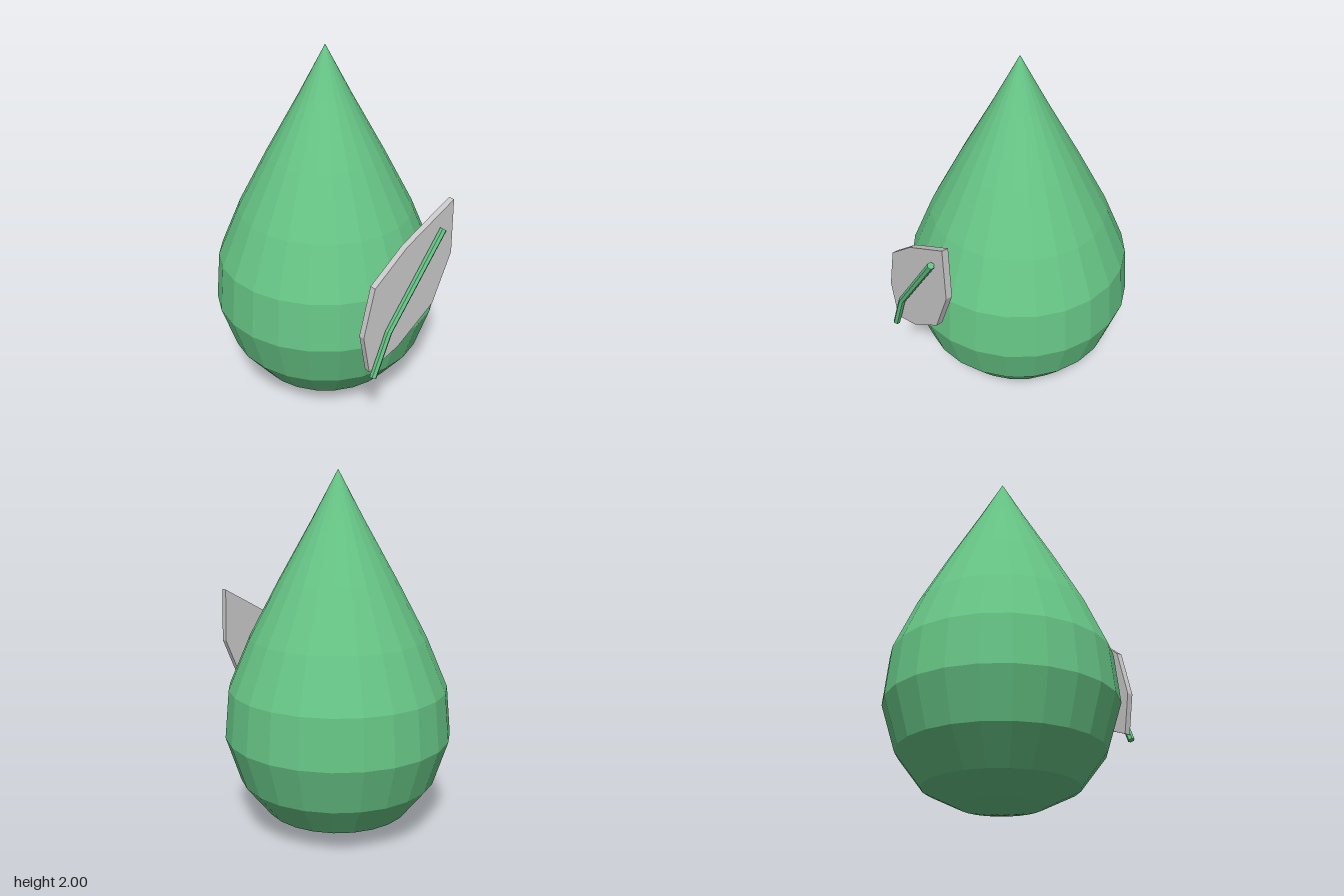
import * as THREE from 'three';

const green = new THREE.MeshStandardMaterial({ color: 0x66c485, flatShading: true });
const grey = new THREE.MeshStandardMaterial({ color: 0xcccccc, flatShading: true });
const vectors = (pairs) => pairs.map(([x, y]) => new THREE.Vector2(x, y));

function part(name, geometry, material) {
  const mesh = new THREE.Mesh(geometry, material);
  mesh.name = name;
  return mesh;
}

// Polyline whose middle point falls exactly on a tube ring
class BentLine extends THREE.Curve {
  constructor(points) {
    super();
    this.points = points;
  }
  getPoint(t, target = new THREE.Vector3()) {
    const n = this.points.length - 1;
    const i = Math.min(Math.floor(t * n), n - 1);
    return target.lerpVectors(this.points[i], this.points[i + 1], t * n - i);
  }
  getPointAt(u, target) { return this.getPoint(u, target); }
  getTangentAt(u, target) { return this.getTangent(u, target); }
}

// Faceted teardrop body
function createDrop() {
  const profile = vectors([
    [0, 0], [0.22, 0.04], [0.41, 0.13], [0.55, 0.31], [0.63, 0.56],
    [0.605, 0.83], [0.485, 1.11], [0.32, 1.42], [0.14, 1.74], [0, 2],
  ]);
  const drop = part('dropBody', new THREE.LatheGeometry(profile, 24), green);
  drop.position.z = -0.05;
  return drop;
}

// Flat leaf plate in front of the drop
function createLeaf() {
  const outline = new THREE.Shape(vectors([
    [0.285, 1.315], [-0.02, 1.14], [-0.217, 0.975], [-0.282, 0.71],
    [-0.24, 0.485], [-0.05, 0.565], [0.18, 0.74], [0.293, 1.01],
  ]));
  const leaf = part('leaf', new THREE.ExtrudeGeometry(outline, { depth: 0.035, bevelEnabled: false }), grey);
  leaf.position.z = 0.608;
  return leaf;
}

// Bent vein along the leaf, closed at both ends
function createVein() {
  const vein = new THREE.Group();
  vein.name = 'leafVein';
  const radius = 0.019, sides = 6;
  const path = new BentLine([[-0.23, 0.46], [-0.135, 0.7], [0.205, 1.18]]
    .map(([x, y]) => new THREE.Vector3(x, y, 0.662)));
  vein.add(part('veinTube', new THREE.TubeGeometry(path, 2, radius, sides), green));
  for (const [end, direction] of [[0, -1], [1, 1]]) {
    const cap = part('veinCap', new THREE.CircleGeometry(radius, sides), green);
    cap.position.copy(path.getPoint(end));
    cap.lookAt(path.getPoint(end).addScaledVector(path.getTangent(end), direction));
    vein.add(cap);
  }
  return vein;
}

export function createModel() {
  const model = new THREE.Group();
  model.name = 'dropWithLeaf';
  model.add(createDrop(), createLeaf(), createVein());
  return model;
}
